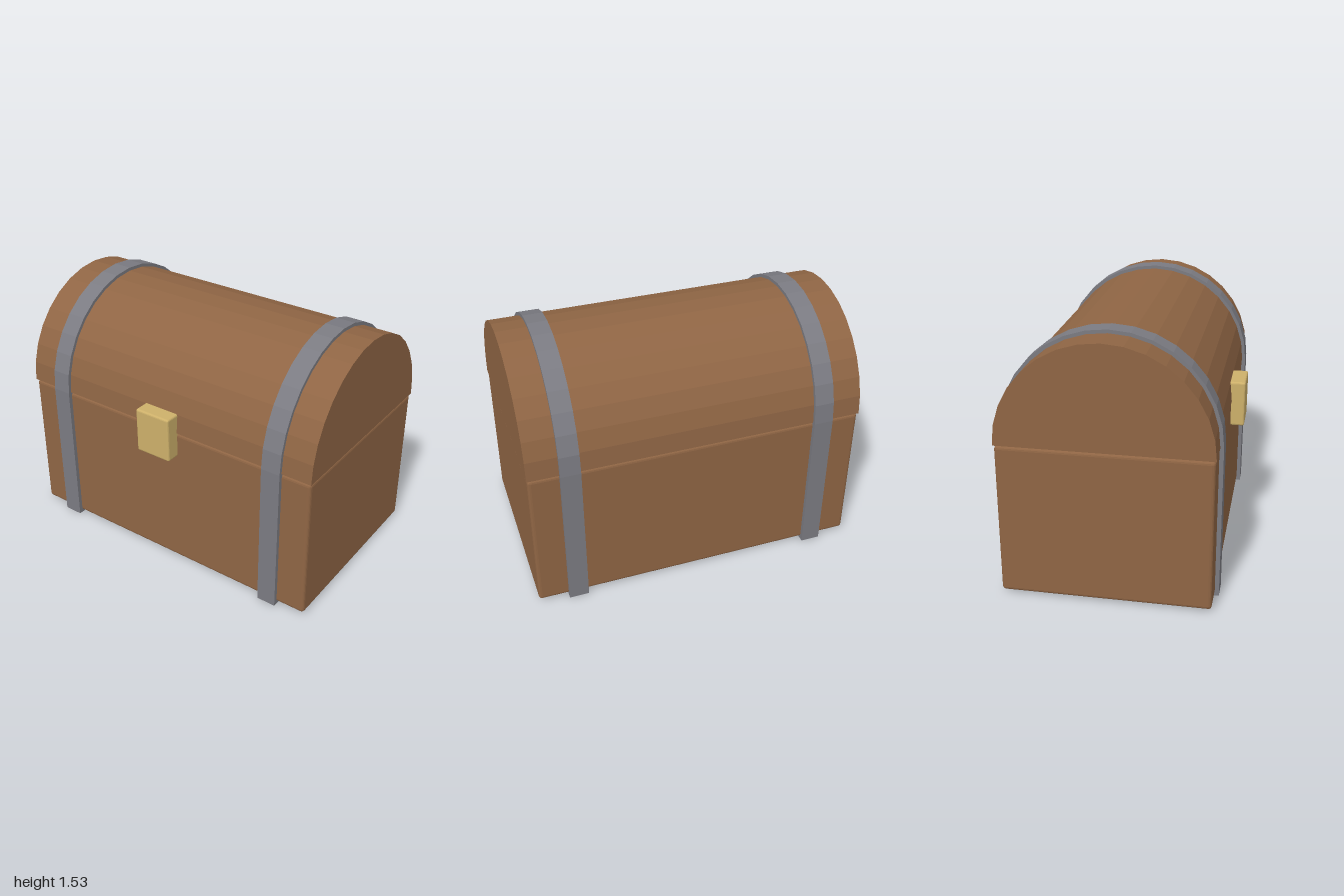
import * as THREE from 'three';
import { RoundedBoxGeometry } from 'three/addons/geometries/RoundedBoxGeometry.js';

const MID_Z = -0.03;   // chest centre line; the lock sticks out in front
const SEAM_Y = 0.91;   // where the lid meets the body

const material = (name, color) => {
  const m = new THREE.MeshStandardMaterial({ color, flatShading: true });
  m.name = name;
  return m;
};

// Arched slab along x: half-circle of 16 facets above the seam, straight sides down to bottomY
function archGeometry(radius, bottomY, width) {
  const shape = new THREE.Shape();
  if (bottomY < SEAM_Y) {
    shape.moveTo(-radius, bottomY);
    shape.lineTo(radius, bottomY);
  }
  for (let i = 0; i <= 16; i++) {
    const a = (i / 16) * Math.PI;
    const x = radius * Math.cos(a), y = SEAM_Y + radius * Math.sin(a);
    if (i === 0 && bottomY >= SEAM_Y) shape.moveTo(x, y);
    else shape.lineTo(x, y);
  }
  shape.closePath();
  const geometry = new THREE.ExtrudeGeometry(shape, { depth: width, bevelEnabled: false });
  geometry.translate(0, 0, -width / 2);
  return geometry.rotateY(Math.PI / 2);
}

export function createModel() {
  const chest = new THREE.Group();
  chest.name = 'chest';
  const wood = material('wood', 0x8f6544);
  const iron = material('iron', 0x7b7b82);
  const brass = material('brass', 0xcdb06a);

  const add = (name, geometry, mat, x, y, z) => {
    const mesh = new THREE.Mesh(geometry, mat);
    mesh.name = name;
    mesh.position.set(x, y, z);
    chest.add(mesh);
  };

  // Wooden box with softened edges, a touch smaller than the lid
  add('body', new RoundedBoxGeometry(1.992, 0.89, 1.192, 2, 0.02), wood, 0, 0.46, MID_Z);

  // Barrel lid
  add('lid', archGeometry(0.6, SEAM_Y, 2), wood, 0, 0, MID_Z);

  // Iron straps wrapping the whole chest
  for (const side of [-1, 1]) {
    add(side > 0 ? 'leftStrap' : 'rightStrap', archGeometry(0.62, 0, 0.117), iron, side * 0.76, 0, MID_Z);
  }

  // Lock plate over the seam
  add('lock', new RoundedBoxGeometry(0.232, 0.276, 0.1, 2, 0.012), brass, 0, 0.892, 0.598);

  return chest;
}
